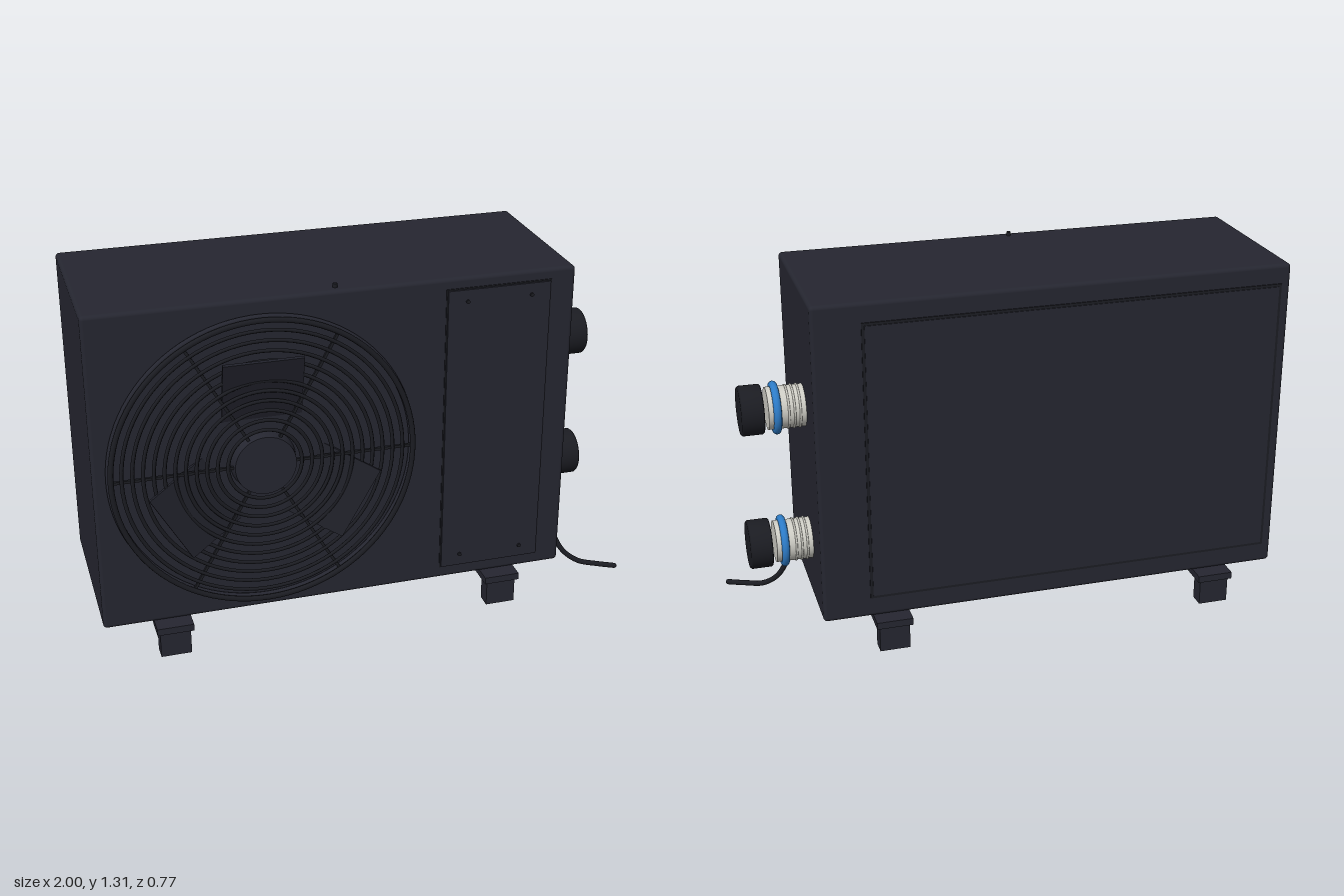
import * as THREE from 'three';
import { RoundedBoxGeometry } from 'three/addons/geometries/RoundedBoxGeometry.js';

const mat = (name, color) => {
  const m = new THREE.MeshStandardMaterial({ color });
  m.name = name;
  return m;
};

export function createModel() {
  const shell = mat('charcoal shell', 0x252630);
  const dark = mat('dark grille', 0x1b1c22);
  const bladeMat = mat('fan blade', 0x20212a);
  const metal = mat('pipe metal', 0xcfcec6);
  const blue = mat('blue seal', 0x2d7cc8);
  const root = new THREE.Group();
  root.name = 'heatPumpUnit';

  const add = (parent, name, geo, material, x = 0, y = 0, z = 0) => {
    const m = new THREE.Mesh(geo, material);
    m.name = name;
    m.position.set(x, y, z);
    parent.add(m);
    return m;
  };
  const box = (parent, name, material, x0, x1, y0, y1, z0, z1) =>
    add(parent, name, new THREE.BoxGeometry(x1 - x0, y1 - y0, z1 - z0), material,
      (x0 + x1) / 2, (y0 + y1) / 2, (z0 + z1) / 2);
  const group = (name, x, y, z) => {
    const g = new THREE.Group();
    g.name = name;
    g.position.set(x, y, z);
    root.add(g);
    return g;
  };

  // Cabinet with a small vent stud on top
  add(root, 'cabinet', new RoundedBoxGeometry(1.72, 1.18, 0.65, 3, 0.014), shell, -0.14, 0.71, 0);
  add(root, 'topStud', new THREE.CylinderGeometry(0.008, 0.008, 0.02, 12), dark, -0.14, 1.304, 0.29);

  // Service panel: dark seam, plate and screws
  box(root, 'servicePanelSeam', dark, 0.245, 0.63, 0.165, 1.262, 0.32, 0.328);
  box(root, 'servicePanel', shell, 0.25, 0.625, 0.17, 1.257, 0.32, 0.335);
  for (const x of [0.32, 0.555]) for (const y of [0.215, 1.215]) {
    const s = add(root, 'panelScrew', new THREE.CylinderGeometry(0.007, 0.007, 0.008, 12), dark, x, y, 0.337);
    s.rotation.x = Math.PI / 2;
  }

  // Rear panel with a dark border
  box(root, 'rearPanelBorder', dark, -0.965, 0.55, 0.195, 1.23, -0.329, -0.32);
  box(root, 'rearPanel', shell, -0.955, 0.54, 0.205, 1.22, -0.332, -0.32);

  // Fan: rims, concentric wire rings, spokes, hub and blades
  const fan = group('fan', -0.41, 0.705, 0);
  add(fan, 'rearRim', new THREE.TorusGeometry(0.535, 0.011, 8, 96), shell, 0, 0, 0.335);
  add(fan, 'frontRim', new THREE.TorusGeometry(0.532, 0.01, 8, 96), dark, 0, 0, 0.36);
  for (let i = 0; i < 11; i++) {
    add(fan, 'grilleRing', new THREE.TorusGeometry(0.13 + i * 0.0365, 0.007, 6, 80), dark, 0, 0, 0.356);
  }
  for (let i = 0; i < 6; i++) {
    const a = i * Math.PI / 3;
    const s = add(fan, 'spoke', new THREE.BoxGeometry(0.43, 0.01, 0.01), dark,
      Math.cos(a) * 0.318, Math.sin(a) * 0.318, 0.352);
    s.rotation.z = a;
  }
  const hub = add(fan, 'hub', new THREE.CylinderGeometry(0.108, 0.116, 0.045, 48), shell, 0, 0, 0.347);
  hub.rotation.x = Math.PI / 2;
  for (let i = 0; i < 3; i++) {
    const arm = new THREE.Group();
    arm.name = 'bladeArm';
    arm.rotation.z = i * Math.PI * 2 / 3;
    fan.add(arm);
    const b = add(arm, 'blade', new THREE.BoxGeometry(0.28, 0.27, 0.012), bladeMat, 0, 0.26, 0.342);
    b.rotation.x = 0.235;
  }

  // Two base rails, each on a pair of feet
  for (const x of [-0.755, 0.475]) {
    box(root, 'baseRail', shell, x - 0.066, x + 0.066, 0.096, 0.122, -0.383, 0.383);
    for (const z of [-0.345, 0.345]) {
      box(root, 'foot', shell, x - 0.055, x + 0.055, 0, 0.1, z - 0.028, z + 0.028);
    }
  }

  // Side water connections, axis along +x
  for (const y of [0.868, 0.35]) {
    const pipe = group('waterConnection', 0.72, y, -0.095);
    pipe.rotation.z = -Math.PI / 2;
    add(pipe, 'pipe', new THREE.CylinderGeometry(0.075, 0.075, 0.13, 48), metal, 0, 0.065, 0);
    for (let i = 0; i < 3; i++) {
      const t = add(pipe, 'thread', new THREE.TorusGeometry(0.075, 0.004, 6, 48), metal, 0, 0.02 + i * 0.02, 0);
      t.rotation.x = Math.PI / 2;
    }
    const seal = add(pipe, 'seal', new THREE.TorusGeometry(0.08, 0.014, 12, 64), blue, 0, 0.1, 0);
    seal.rotation.x = Math.PI / 2;
    const profile = [[0, 0.145], [0.084, 0.145], [0.088, 0.15], [0.088, 0.219], [0.083, 0.225], [0, 0.225]]
      .map(p => new THREE.Vector2(...p));
    const capGeo = new THREE.LatheGeometry(profile, 48);
    add(pipe, 'cap', capGeo, dark);
  }

  // Power cable
  const path = new THREE.CatmullRomCurve3([
    [0.733, 0.25, 0.152], [0.765, 0.15, 0.163], [0.81, 0.062, 0.18],
    [0.865, 0.022, 0.206], [0.93, 0.015, 0.238], [0.992, 0.013, 0.268],
  ].map(p => new THREE.Vector3(...p)));
  add(root, 'powerCable', new THREE.TubeGeometry(path, 40, 0.01, 10), dark);
  for (const t of [0, 1]) {
    add(root, 'cableEnd', new THREE.SphereGeometry(0.0099, 10, 8), dark).position.copy(path.getPoint(t));
  }
  return root;
}
